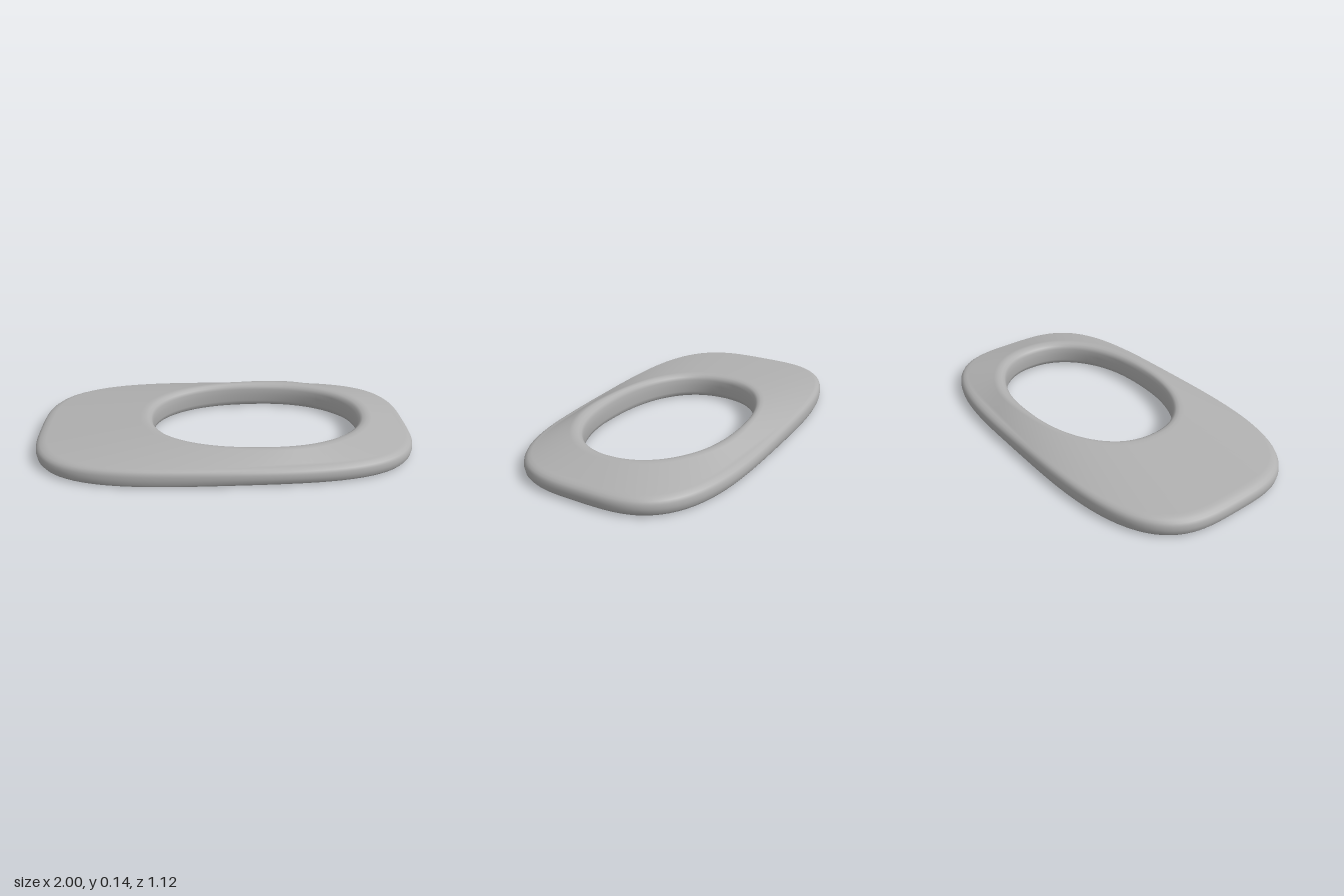
import * as THREE from 'three';

const SEGMENTS = 128;

// Point on a superellipse, by angle
function rimPoint(angle, cx, a, b, n) {
  const c = Math.cos(angle), s = Math.sin(angle);
  const r = Math.pow(Math.abs(c) ** n + Math.abs(s) ** n, -1 / n);
  return new THREE.Vector2(cx + a * r * c, b * r * s);
}

// Cross-section [distance from edge, height]: outer edge, bottom to top
const OUTER = [[0.06, 0], [0.035, 0.001], [0.014, 0.007], [0.004, 0.02], [0, 0.042],
  [0.003, 0.062], [0.011, 0.075], [0.024, 0.084], [0.042, 0.09], [0.06, 0.093]];
// Opening edge, top to bottom
const INNER = [[0.07, 0.136], [0.045, 0.138], [0.024, 0.134], [0.009, 0.124], [0.001, 0.106],
  [0, 0.075], [0.001, 0.034], [0.008, 0.014], [0.022, 0.004], [0.04, 0.001], [0.06, 0]];

function ringGeometry() {
  const rows = OUTER.length + INNER.length;
  const positions = [], indices = [];
  for (let i = 0; i < SEGMENTS; i++) {
    const angle = (i / SEGMENTS) * Math.PI * 2;
    const outer = rimPoint(angle, 0, 1, 0.56, 3.3);
    const inner = rimPoint(angle, 0.172, 0.558, 0.38, 2.2);
    const inward = inner.clone().sub(outer).normalize();
    for (const [d, y] of OUTER) positions.push(outer.x + inward.x * d, y, outer.y + inward.y * d);
    for (const [d, y] of INNER) positions.push(inner.x - inward.x * d, y, inner.y - inward.y * d);
    // Join this section to the next, closing along the flat underside
    const next = (i + 1) % SEGMENTS;
    for (let j = 0; j < rows; j++) {
      const k = (j + 1) % rows;
      const a = i * rows + j, b = i * rows + k, c = next * rows + k, d = next * rows + j;
      indices.push(a, b, c, a, c, d);
    }
  }
  const geometry = new THREE.BufferGeometry();
  geometry.setAttribute('position', new THREE.Float32BufferAttribute(positions, 3));
  geometry.setIndex(indices);
  geometry.computeVertexNormals();
  return geometry;
}

export function createModel() {
  const grey = new THREE.MeshStandardMaterial({ color: 0xb0b0b0 });
  grey.name = 'grey';
  const ring = new THREE.Mesh(ringGeometry(), grey);
  ring.name = 'ovalRing';
  const model = new THREE.Group();
  model.name = 'ovalPlateWithOpening';
  model.add(ring);
  return model;
}
